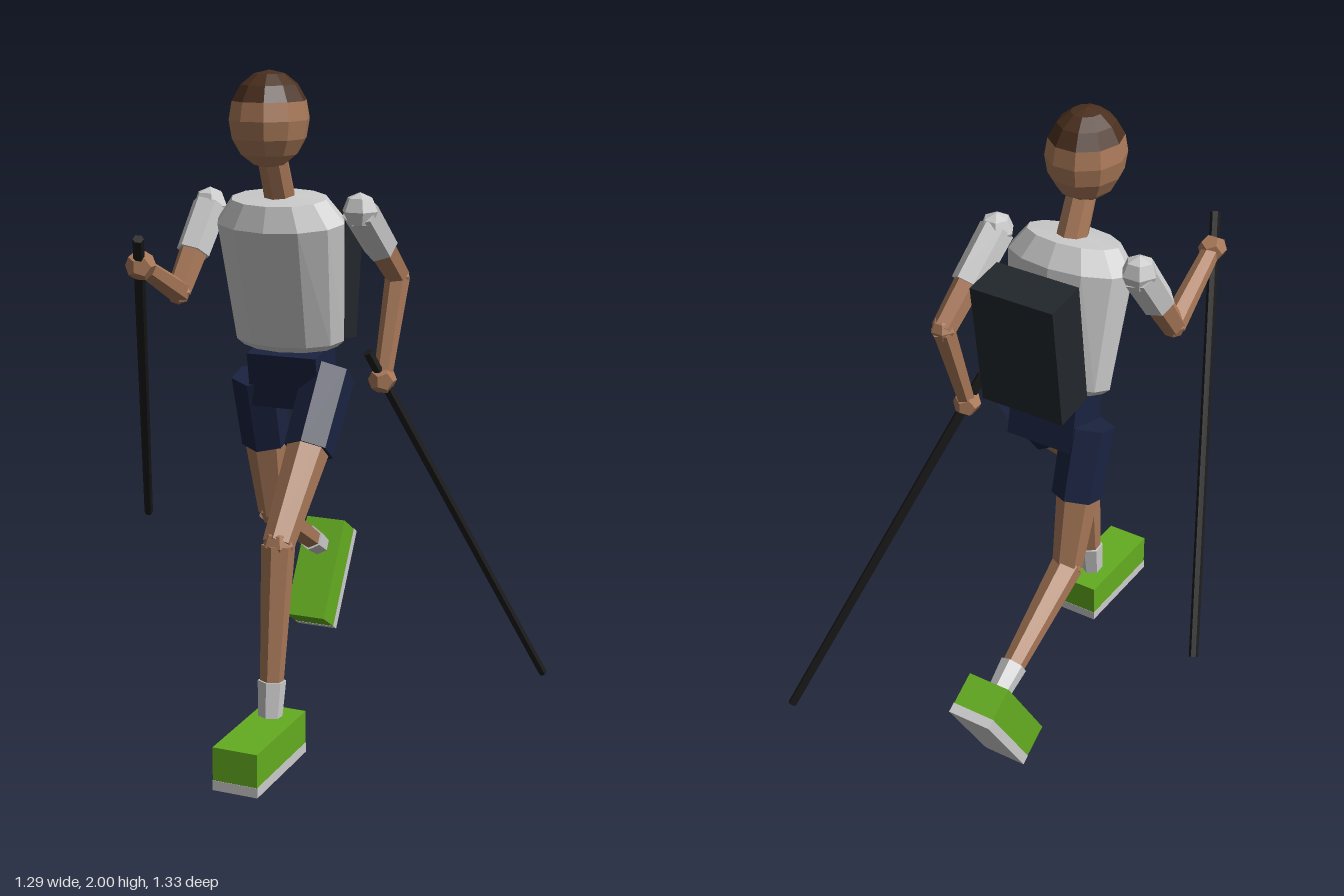
import * as THREE from 'three';

const mat = (color) => new THREE.MeshStandardMaterial({ color, flatShading: true });
const SKIN = mat(0xa87858), HAIR = mat(0x4a2f1e), GREY = mat(0xcccccc), NAVY = mat(0x1a2340);
const GREEN = mat(0x64ad20), PACK = mat(0x22272c), POLE = mat(0x1a1a1a);
const UP = new THREE.Vector3(0, 1, 0);

export function createModel() {
  const model = new THREE.Group();
  model.name = 'runnerWithPoles';

  const add = (name, geometry, material, pos = [0, 0, 0], rotX = 0, parent = model) => {
    const mesh = new THREE.Mesh(geometry, material);
    mesh.name = name;
    mesh.position.set(...pos);
    mesh.rotation.x = rotX;
    parent.add(mesh);
    return mesh;
  };
  // Tapered faceted tube from point a (radius ra) to point b (radius rb)
  const limb = (name, a, b, ra, rb, material, sides = 6) => {
    const A = new THREE.Vector3(...a), B = new THREE.Vector3(...b);
    const dir = B.clone().sub(A);
    const mesh = add(name, new THREE.CylinderGeometry(rb, ra, dir.length(), sides), material,
      A.clone().add(B).multiplyScalar(0.5).toArray());
    mesh.quaternion.setFromUnitVectors(UP, dir.normalize());
    return mesh;
  };
  const ball = (name, p, r, material) => add(name, new THREE.SphereGeometry(r, 6, 4), material, p);
  const mix = (a, b, t) => a.map((v, i) => v + (b[i] - v) * t);

  // Head: lower face and dark hair cap share one ellipsoid
  const cut = Math.PI * 0.375;
  for (const [name, start, len, m] of [['hair', 0, cut, HAIR], ['face', cut, Math.PI - cut, SKIN]]) {
    add(name, new THREE.SphereGeometry(1, 10, name === 'hair' ? 3 : 5, 0, Math.PI * 2, start, len),
      m, [-0.03, 1.86, 0.155]).scale.set(0.116, 0.14, 0.128);
  }
  limb('neck', [-0.03, 1.6, 0.07], [-0.03, 1.77, 0.145], 0.048, 0.045, SKIN, 8);

  // Shirt: lathe squashed front to back, leaning forward
  const torso = new THREE.LatheGeometry(
    [[0, 0], [0.155, 0], [0.177, 0.02], [0.203, 0.385], [0.15, 0.455], [0, 0.465]]
      .map(([x, y]) => new THREE.Vector2(x, y)), 12);
  const p = torso.attributes.position;
  for (let i = 0; i < p.count; i++) {
    p.setZ(i, p.getZ(i) * (0.54 + 0.1 * Math.min(1, p.getY(i) / 0.385)));
  }
  add('torso', torso, GREY, [-0.03, 1.18, 0.008], 0.18);

  add('backpack', new THREE.BoxGeometry(0.275, 0.4, 0.14), PACK, [-0.03, 1.38, -0.146], -0.133);
  add('pelvis', new THREE.BoxGeometry(0.225, 0.17, 0.15), NAVY, [-0.03, 1.08, -0.01], 0.18);

  // Legs: shorts, thigh, knee, shin, sock and a box shoe
  const legs = [
    { side: 'left', hip: [0.087, 1.09, -0.02], hem: [0.087, 0.885, 0.14], knee: [0.083, 0.655, 0.355],
      ankle: [0.083, 0.15, 0.415], shoe: [0.085, 0.075, 0.492], pitch: 0, sock: 0.79 },
    { side: 'right', hip: [-0.146, 1.07, -0.005], hem: [-0.146, 0.845, -0.07], knee: [-0.143, 0.605, -0.115],
      ankle: [-0.143, 0.382, -0.495], shoe: [-0.143, 0.277, -0.515], pitch: 1.01, sock: 0.8 },
  ];
  for (const l of legs) {
    limb(l.side + 'Shorts', l.hip, l.hem, 0.08, 0.076, NAVY);
    limb(l.side + 'Thigh', mix(l.hip, l.hem, 0.6), l.knee, 0.07, 0.047, SKIN);
    ball(l.side + 'Knee', l.knee, 0.048, SKIN);
    const sockTop = mix(l.knee, l.ankle, l.sock);
    limb(l.side + 'Shin', l.knee, sockTop, 0.05, 0.035, SKIN);
    limb(l.side + 'Sock', sockTop, l.ankle, 0.042, 0.036, GREY);
    const shoe = new THREE.Group();
    shoe.name = l.side + 'Shoe';
    shoe.position.set(...l.shoe);
    shoe.rotation.x = l.pitch;
    model.add(shoe);
    add('shoeUpper', new THREE.BoxGeometry(0.138, 0.1, 0.345), GREEN, [0, 0.015, 0], 0, shoe);
    add('shoeSole', new THREE.BoxGeometry(0.14, 0.03, 0.347), GREY, [0, -0.05, 0], 0, shoe);
  }

  // Arms: sleeve, forearm, hand and the pole it holds
  const arms = [
    { side: 'left', shoulder: [0.21, 1.595, 0.05], elbow: [0.238, 1.37, -0.195], hand: [0.228, 1.066, -0.1],
      poleTop: [0.196, 1.155, -0.06], poleEnd: [0.628, 0.01, -0.573] },
    { side: 'right', shoulder: [-0.27, 1.59, 0.055], elbow: [-0.3, 1.35, 0.215], hand: [-0.275, 1.47, 0.493],
      poleTop: [-0.245, 1.555, 0.56], poleEnd: [-0.633, 0.52, -0.195] },
  ];
  for (const a of arms) {
    const cuff = mix(a.shoulder, a.elbow, 0.55);
    ball(a.side + 'Shoulder', a.shoulder, 0.055, GREY);
    limb(a.side + 'Sleeve', a.shoulder, cuff, 0.055, 0.052, GREY);
    limb(a.side + 'UpperArm', cuff, a.elbow, 0.043, 0.038, SKIN);
    ball(a.side + 'Elbow', a.elbow, 0.039, SKIN);
    limb(a.side + 'Forearm', a.elbow, a.hand, 0.038, 0.028, SKIN);
    add(a.side + 'Hand', new THREE.DodecahedronGeometry(0.044), SKIN, a.hand);
    limb(a.side + 'Pole', a.poleTop, a.poleEnd, 0.016, 0.014, POLE);
  }
  return model;
}
